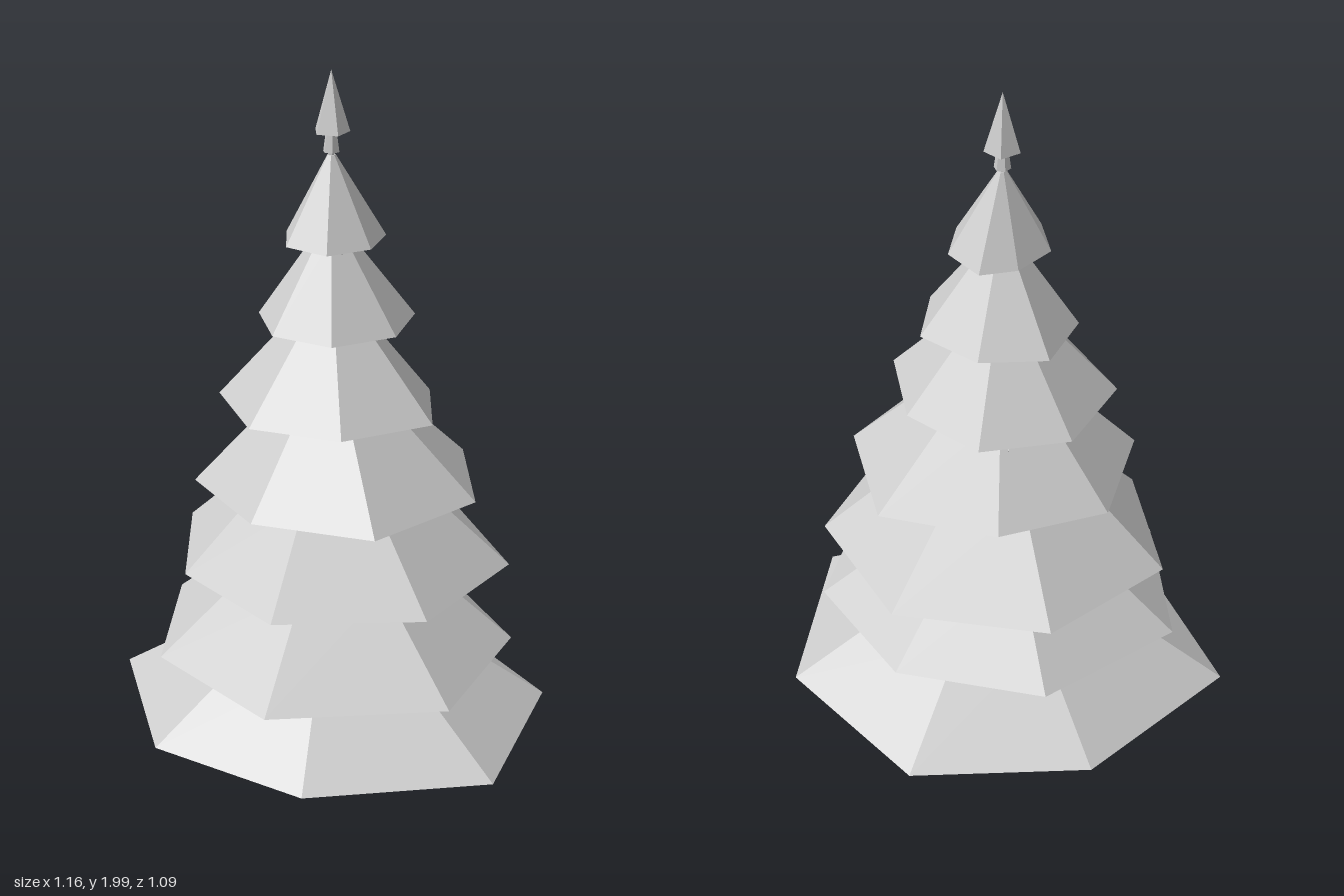
import * as THREE from 'three';

const CX = -0.04, CZ = 0.005; // trunk axis
const material = new THREE.MeshStandardMaterial({ color: 0xcccccc, flatShading: true });

// Each tier: rim height, top height, top scale, uneven rim as x,z pairs (clockwise from above)
const TIERS = [
  [0.215, 0.44, 0.45, [-0.195, -0.545, 0.3, -0.47, 0.58, -0.03, 0.32, 0.4, -0.13, 0.54, -0.585, 0.305, -0.545, -0.21]],
  [0.435, 0.66, 0.46, [-0.06, -0.445, 0.31, -0.335, 0.51, 0.065, 0.245, 0.46, -0.2, 0.465, -0.515, 0.165, -0.42, -0.255]],
  [0.66, 0.895, 0.46, [-0.07, -0.465, 0.31, -0.32, 0.425, 0.07, 0.185, 0.39, -0.19, 0.385, -0.49, 0.14, -0.43, -0.25]],
  [0.885, 1.12, 0.4, [0.04, -0.39, 0.32, -0.185, 0.335, 0.17, 0.055, 0.35, -0.26, 0.295, -0.4, 0.01, -0.25, -0.25]],
  [1.11, 1.345, 0.32, [0.07, -0.24, 0.26, -0.085, 0.195, 0.165, -0.02, 0.295, -0.265, 0.205, -0.32, -0.045, -0.17, -0.235]],
  [1.335, 1.57, 0.2, [0.065, -0.19, 0.165, -0.04, 0.12, 0.135, -0.04, 0.2, -0.2, 0.12, -0.25, -0.055, -0.12, -0.18]],
  [1.56, 1.78, 0.08, [-0.085, -0.135, 0.035, -0.115, 0.1, -0.01, 0.07, 0.11, -0.05, 0.145, -0.15, 0.065, -0.145, -0.055]],
];

function add(parent, name, geometry) {
  const mesh = new THREE.Mesh(geometry, material);
  mesh.name = name;
  parent.add(mesh);
  return mesh;
}

// Faceted frustum between the rim and a scaled copy of it, closed at both ends
function tierGeometry([y0, y1, scale, rim]) {
  const n = rim.length / 2, positions = [];
  const ring = (i, y, s) => {
    const k = (i % n) * 2;
    return [CX + (rim[k] - CX) * s, y, CZ + (rim[k + 1] - CZ) * s];
  };
  for (let i = 0; i < n; i++) {
    const a = ring(i, y0, 1), b = ring(i + 1, y0, 1);
    const c = ring(i, y1, scale), d = ring(i + 1, y1, scale);
    positions.push(...b, ...a, ...c, ...b, ...c, ...d);
    positions.push(CX, y0, CZ, ...a, ...b, CX, y1, CZ, ...d, ...c);
  }
  const g = new THREE.BufferGeometry();
  g.setAttribute('position', new THREE.Float32BufferAttribute(positions, 3));
  g.computeVertexNormals();
  return g;
}

// Tapered rod between two points
function rod(parent, name, from, to, r0, r1, sides) {
  const a = new THREE.Vector3(...from), b = new THREE.Vector3(...to);
  const dir = b.clone().sub(a);
  const mesh = add(parent, name, new THREE.CylinderGeometry(r1, r0, dir.length(), sides));
  mesh.position.copy(a).add(b).multiplyScalar(0.5);
  mesh.quaternion.setFromUnitVectors(new THREE.Vector3(0, 1, 0), dir.normalize());
}

// Faceted turned part on the trunk axis
function turned(parent, name, profile, sides) {
  const points = profile.map(([r, y]) => new THREE.Vector2(r, y));
  add(parent, name, new THREE.LatheGeometry(points, sides)).position.set(CX, 0, CZ);
}

export function createModel() {
  const tree = new THREE.Group();
  tree.name = 'coniferTree';

  // Trunk with a flared foot
  turned(tree, 'trunk', [[0, 0.01], [0.066, 0.01], [0.058, 0.05], [0.046, 0.14], [0.045, 0.22]], 8);

  // Roots spreading over the ground
  const roots = new THREE.Group();
  roots.name = 'roots';
  tree.add(roots);
  for (let i = 0; i < 6; i++) {
    const a = (i / 6) * Math.PI * 2 + 0.3, c = Math.cos(a), s = Math.sin(a);
    rod(roots, 'root', [CX + 0.045 * c, 0.055, CZ + 0.045 * s],
      [CX + 0.132 * c, 0.016, CZ + 0.132 * s], 0.018, 0.012, 5);
  }

  // Foliage tiers
  TIERS.forEach((tier, i) => add(tree, `foliageTier${i + 1}`, tierGeometry(tier)));

  // Thin twigs just under some of the tiers
  const twigs = new THREE.Group();
  twigs.name = 'twigs';
  tree.add(twigs);
  [[0, 0.46], [2, 0.38], [4, 0.25], [6, 0.11]].forEach(([t, reach], k) => {
    const y = TIERS[t][0];
    for (let i = 0; i < 3; i++) {
      const a = 2.53 + k * 0.7 + (i * Math.PI * 2) / 3, c = Math.cos(a), s = Math.sin(a);
      rod(twigs, 'twig', [CX + reach * 0.35 * c, y + 0.002, CZ + reach * 0.35 * s],
        [CX + reach * c, y - 0.01, CZ + reach * s], 0.004, 0.002, 4);
    }
  });

  // Neck and pointed top
  turned(tree, 'neck', [[0.008, 1.76], [0.009, 1.787], [0.022, 1.788], [0.014, 1.845]], 6);
  turned(tree, 'treeTop', [[0, 1.84], [0.048, 1.84], [0, 2]], 5);
  return tree;
}
